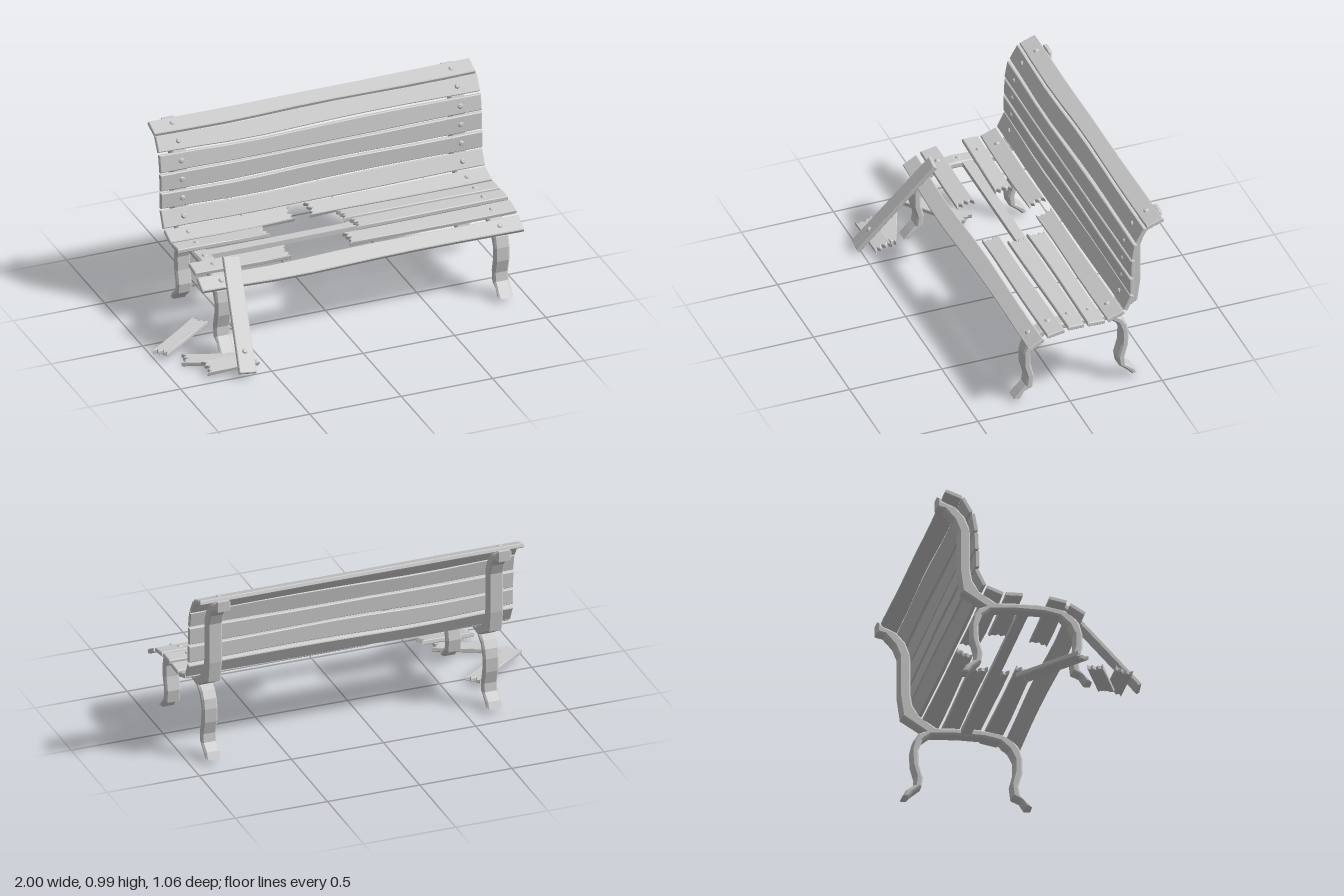
import * as THREE from 'three';

const WIDTH = 0.09, THICK = 0.024;
const FRAME_X = [-0.645, 0.88];
const X0 = -0.762, X1 = 0.997;
const SPLINTER = [0, 0.022, 0.006, 0.03, 0.012, 0.02, -0.004];

const material = new THREE.MeshStandardMaterial({ color: 0xcccccc, flatShading: true });

function mesh(geometry, name) {
  const m = new THREE.Mesh(geometry, material);
  m.name = name;
  return m;
}

// Side outline of one cast frame as [z, y]: front leg, seat, back, rear leg, arch
const FRAME = [
  [0.27, 0.02], [0.23, 0.065], [0.207, 0.089], [0.2, 0.137], [0.22, 0.21], [0.22, 0.285],
  [0.204, 0.343], [0.16, 0.394], [0.104, 0.415], [-0.01, 0.428], [-0.139, 0.423], [-0.224, 0.417],
  [-0.31, 0.474], [-0.347, 0.53], [-0.358, 0.594], [-0.358, 0.81], [-0.387, 0.88], [-0.433, 0.93],
  [-0.504, 0.96], [-0.513, 0.98], [-0.53, 0.98], [-0.53, 0.923], [-0.49, 0.915], [-0.44, 0.86],
  [-0.416, 0.8], [-0.416, 0.58], [-0.4, 0.466], [-0.281, 0.394], [-0.316, 0.377], [-0.341, 0.337],
  [-0.353, 0.286], [-0.35, 0.209], [-0.33, 0.137], [-0.336, 0.091], [-0.381, 0.057], [-0.4, 0.02],
  [-0.37, 0.02], [-0.347, 0.046], [-0.3, 0.086], [-0.293, 0.137], [-0.313, 0.209], [-0.316, 0.286],
  [-0.296, 0.343], [-0.253, 0.378], [-0.139, 0.389], [0.024, 0.389], [0.104, 0.374], [0.153, 0.331],
  [0.179, 0.28], [0.179, 0.217], [0.161, 0.143], [0.17, 0.074], [0.213, 0.057], [0.237, 0.02],
];

function frameGeometry() {
  const shape = new THREE.Shape(FRAME.map(([z, y]) => new THREE.Vector2(z, y)));
  const b = 0.009;
  return new THREE.ExtrudeGeometry(shape, {
    depth: 0.08 - 2 * b, bevelThickness: b, bevelSize: b, bevelOffset: -b, bevelSegments: 1,
  }).translate(0, 0, b - 0.04).rotateY(-Math.PI / 2);
}

// Gentle warp of the old wood along its length
const warp = (x, seed) =>
  -0.009 * Math.exp(-(((x + 0.3) / 0.3) ** 2)) + 0.003 * Math.sin(x * 5 + seed * 2.1);

// Board lying in local xy, thickness along z; either end can be splintered
function boardGeometry(x0, x1, { brokenLeft = false, brokenRight = false, seed = 0, bend = 1, width = WIDTH } = {}) {
  const pts = [];
  const n = Math.max(2, Math.round((x1 - x0) / 0.2));
  const h = width / 2;
  const edge = (x, side) => side * h + bend * warp(x, seed + side * 0.4);
  const steps = SPLINTER.length - 1;
  for (let i = 0; i <= n; i++) {
    const x = x0 + ((x1 - x0) * i) / n;
    pts.push(new THREE.Vector2(x, edge(x, -1)));
  }
  if (brokenRight) for (let i = 1; i < steps; i++) {
    const t = i / steps;
    pts.push(new THREE.Vector2(x1 - SPLINTER[i], THREE.MathUtils.lerp(edge(x1, -1), edge(x1, 1), t)));
  }
  for (let i = n; i >= 0; i--) {
    const x = x0 + ((x1 - x0) * i) / n;
    pts.push(new THREE.Vector2(x, edge(x, 1)));
  }
  if (brokenLeft) for (let i = 1; i < steps; i++) {
    const t = i / steps;
    pts.push(new THREE.Vector2(x0 + SPLINTER[i], THREE.MathUtils.lerp(edge(x0, 1), edge(x0, -1), t)));
  }
  const b = 0.004;
  return new THREE.ExtrudeGeometry(new THREE.Shape(pts), {
    depth: THICK - 2 * b, bevelThickness: b, bevelSize: b, bevelOffset: -b, bevelSegments: 1,
  }).translate(0, 0, b - THICK / 2);
}

// Low domed bolt head facing local +z
function bolt(x, y = 0, z = THICK / 2) {
  const m = mesh(new THREE.CylinderGeometry(0.009, 0.016, 0.008, 8).rotateX(Math.PI / 2), 'bolt');
  m.position.set(x, y, z + 0.003);
  return m;
}

// Slat across the frames: centre (z, y), tilt in degrees rising to the back
function slat(name, z, y, tilt, seed, pieces) {
  const g = new THREE.Group();
  g.name = name;
  for (const [x0, x1] of pieces) {
    g.add(mesh(boardGeometry(x0, x1, { brokenLeft: x0 > X0, brokenRight: x1 < X1, seed }), 'board'));
    for (const x of FRAME_X) if (x > x0 && x < x1) g.add(bolt(x));
  }
  g.position.set(0, y, z);
  g.rotation.x = THREE.MathUtils.degToRad(tilt - 90);
  return g;
}

// Loose plank running from a to b, its face turned as near to "up" as possible
function plank(name, a, b, up, options) {
  const A = new THREE.Vector3(...a), B = new THREE.Vector3(...b);
  const dir = B.clone().sub(A), len = dir.length();
  dir.normalize();
  const side = new THREE.Vector3(...up).cross(dir).normalize();
  const normal = dir.clone().cross(side);
  const g = new THREE.Group();
  g.name = name;
  g.add(mesh(boardGeometry(-len / 2, len / 2, { bend: 0.3, ...options }), 'board'));
  g.quaternion.setFromRotationMatrix(new THREE.Matrix4().makeBasis(dir, side, normal));
  g.position.copy(A).add(B).multiplyScalar(0.5);
  return g;
}

export function createModel() {
  const model = new THREE.Group();
  model.name = 'brokenBench';

  // Cast side frames
  const frame = frameGeometry();
  FRAME_X.forEach((x, i) => {
    const m = mesh(frame, i ? 'leftFrame' : 'rightFrame');
    m.position.x = x;
    model.add(m);
  });

  // Crossbar under the seat
  const bar = mesh(new THREE.BoxGeometry(FRAME_X[1] - FRAME_X[0], 0.025, 0.055), 'crossbar');
  bar.position.set((FRAME_X[0] + FRAME_X[1]) / 2, 0.408, -0.072);
  model.add(bar);

  // Seat slats, front to back: z, y, tilt, remaining pieces
  const whole = [[X0, X1]];
  [
    [0.178, 0.383, 30, whole],
    [0.075, 0.425, 10, [[X0, -0.235], [0.08, X1]]],
    [-0.035, 0.44, 0, [[0.165, X1]]],
    [-0.147, 0.436, -2, [[X0, -0.265], [0.14, X1]]],
    [-0.25, 0.45, 20, [[X0, -0.08], [0.0, X1]]],
  ].forEach(([z, y, tilt, pieces], i) => model.add(slat(`seatSlat${i + 1}`, z, y, tilt, i, pieces)));

  // Back slats, bottom to top
  [
    [-0.322, 0.515, 64],
    [-0.338, 0.615, 90],
    [-0.343, 0.718, 88],
    [-0.352, 0.818, 80],
    [-0.391, 0.91, 60],
    [-0.463, 0.966, 20],
  ].forEach(([z, y, tilt], i) => model.add(slat(`backSlat${i + 1}`, z, y, tilt, i + 5, whole)));

  // Bolt left on the bare frame where a slat is gone
  const bare = bolt(0, 0, 0);
  bare.name = 'bareBolt';
  bare.rotation.x = -Math.PI / 2;
  bare.position.set(FRAME_X[0], 0.431, -0.035);
  model.add(bare);

  // Plank leaning against the seat, with its bolt near the ground
  const leaning = plank('leaningPlank', [-0.643, 0.025, 0.52], [-0.57, 0.485, 0.128], [0, 0.65, 0.76], { seed: 1 });
  leaning.add(bolt(-0.19));
  model.add(leaning);

  // Broken pieces on the ground
  const broken = { brokenLeft: true, brokenRight: true };
  model.add(
    plank('fallenPieceBack', [-0.975, 0.028, 0.163], [-0.645, 0.028, -0.09], [0, 1, 0], { ...broken, seed: 2, width: 0.085 }),
    plank('fallenPieceMiddle', [-0.885, 0.014, 0.24], [-0.6, 0.02, 0.36], [0, 1, 0.08], { ...broken, seed: 3, width: 0.08 }),
    plank('fallenPieceFront', [-0.83, 0.034, 0.405], [-0.545, 0.038, 0.405], [0, 0.97, 0.24], { ...broken, seed: 4 }),
  );
  return model;
}
